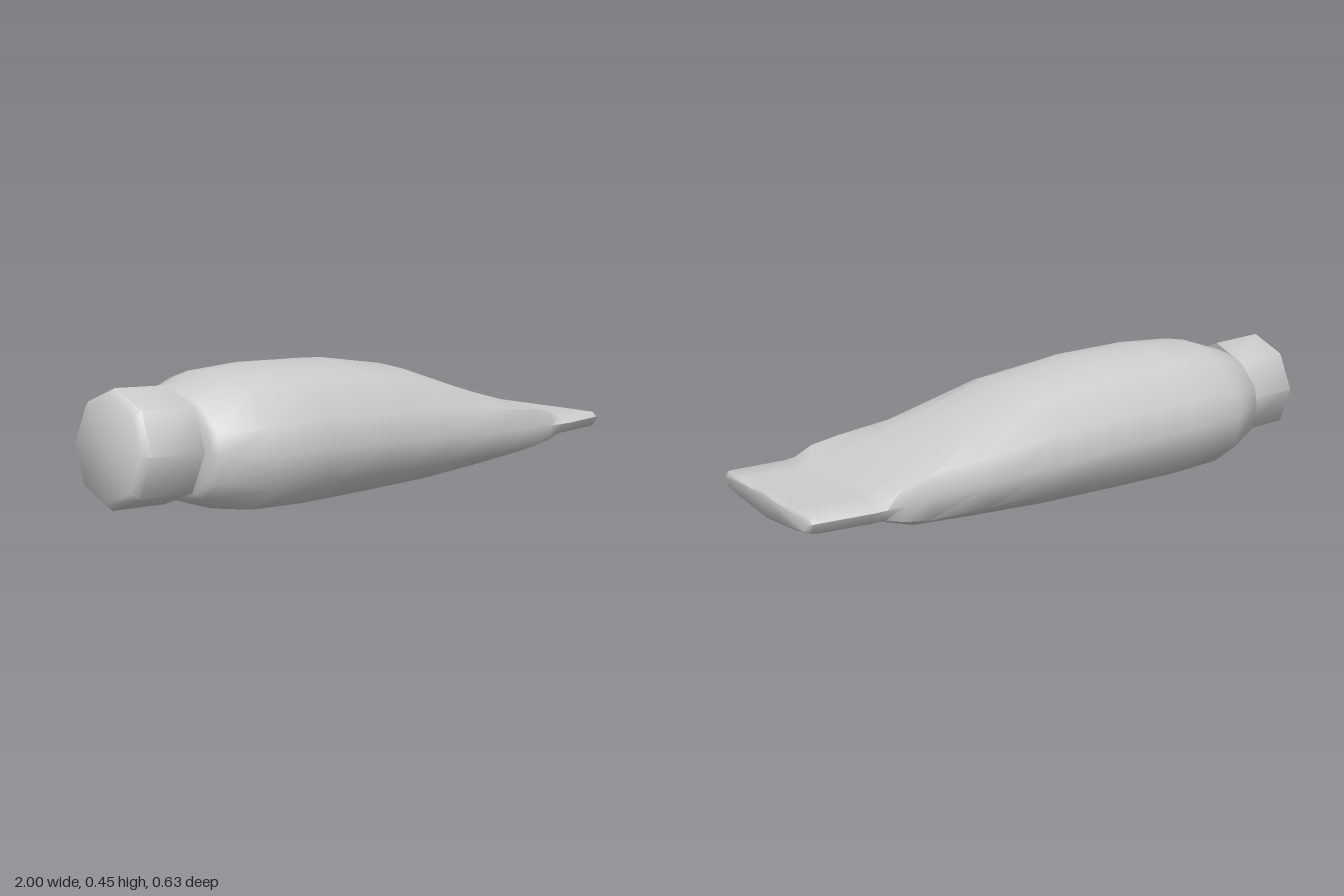
import * as THREE from 'three';
import { toCreasedNormals } from 'three/addons/utils/BufferGeometryUtils.js';

const material = new THREE.MeshStandardMaterial({ color: 0xcccccc });

// Half outline of a section: [width, height when round, height when flattened]
const HALF = [
  [0, 1, 1], [0.34, 0.95, 1], [0.62, 0.82, 1], [0.94, 0.38, 0.95], [1, 0, 0],
  [0.95, -0.5, -0.5], [0.62, -0.87, -0.75], [0, -1, -1],
];
const OUTLINE = [...HALF, ...HALF.slice(1, -1).reverse().map(([w, r, f]) => [-w, r, f])];

// Stations along the tube: [x, top, bottom, half width, height of widest point, flatness]
const STATIONS = [
  [-0.775, 0.385, 0.09, 0.2, 0.235, 0],
  [-0.76, 0.395, 0.07, 0.225, 0.23, 0],
  [-0.61, 0.443, 0.018, 0.3, 0.22, 0],
  [-0.41, 0.452, 0.006, 0.314, 0.215, 0],
  [-0.14, 0.441, 0.003, 0.314, 0.2, 0],
  [0.14, 0.396, 0.001, 0.314, 0.18, 0.1],
  [0.4, 0.307, 0.008, 0.314, 0.165, 0.3],
  [0.61, 0.238, 0.015, 0.314, 0.155, 0.6],
  [0.7, 0.205, 0.045, 0.314, 0.15, 0.85],
  [0.76, 0.168, 0.079, 0.314, 0.148, 1],
  [0.8, 0.163, 0.078, 0.314, 0.147, 1],
  [0.975, 0.163, 0.079, 0.306, 0.147, 1],
  [0.992, 0.162, 0.085, 0.3, 0.145, 1],
  [1, 0.155, 0.095, 0.285, 0.14, 1],
];

function tubeGeometry() {
  const n = OUTLINE.length;
  const positions = [];
  const index = [];
  for (const [x, top, bottom, half, mid, flat] of STATIONS) {
    for (const [w, round, flattened] of OUTLINE) {
      const h = THREE.MathUtils.lerp(round, flattened, flat);
      positions.push(x, mid + h * (h > 0 ? top - mid : mid - bottom), w * half);
    }
  }
  const last = (STATIONS.length - 1) * n;
  for (let s = 0; s < last; s += n) {
    for (let j = 0; j < n; j++) {
      const a = s + j, b = s + (j + 1) % n;
      index.push(a, b, a + n, b, b + n, a + n);
    }
  }
  // Close both ends
  for (let j = 1; j < n - 1; j++) {
    index.push(0, j + 1, j, last, last + j, last + j + 1);
  }
  const geometry = new THREE.BufferGeometry();
  geometry.setAttribute('position', new THREE.Float32BufferAttribute(positions, 3));
  geometry.setIndex(index);
  return toCreasedNormals(geometry, 1.0);
}

// Eight-sided turned part whose profile is [radius, distance from the outer end]
function turned(name, profile) {
  const points = profile.map(([r, d]) => new THREE.Vector2(r, d));
  const mesh = new THREE.Mesh(toCreasedNormals(new THREE.LatheGeometry(points, 8), 0.9), material);
  mesh.name = name;
  return mesh;
}

export function createModel() {
  const model = new THREE.Group();
  model.name = 'squeezeTube';

  const body = new THREE.Mesh(tubeGeometry(), material);
  body.name = 'tubeBody';
  model.add(body);

  // Cap and neck sit slightly tilted on the tube
  const closure = new THREE.Group();
  closure.name = 'closure';
  closure.add(turned('cap', [[0, 0], [0.155, 0], [0.177, 0.022], [0.177, 0.212], [0, 0.212]]));
  closure.add(turned('neck', [[0, 0.19], [0.12, 0.19], [0.12, 0.25], [0, 0.25]]));
  closure.position.set(-0.99, 0.25, 0);
  closure.rotation.z = -Math.PI / 2 - 0.06;
  model.add(closure);

  return model;
}
